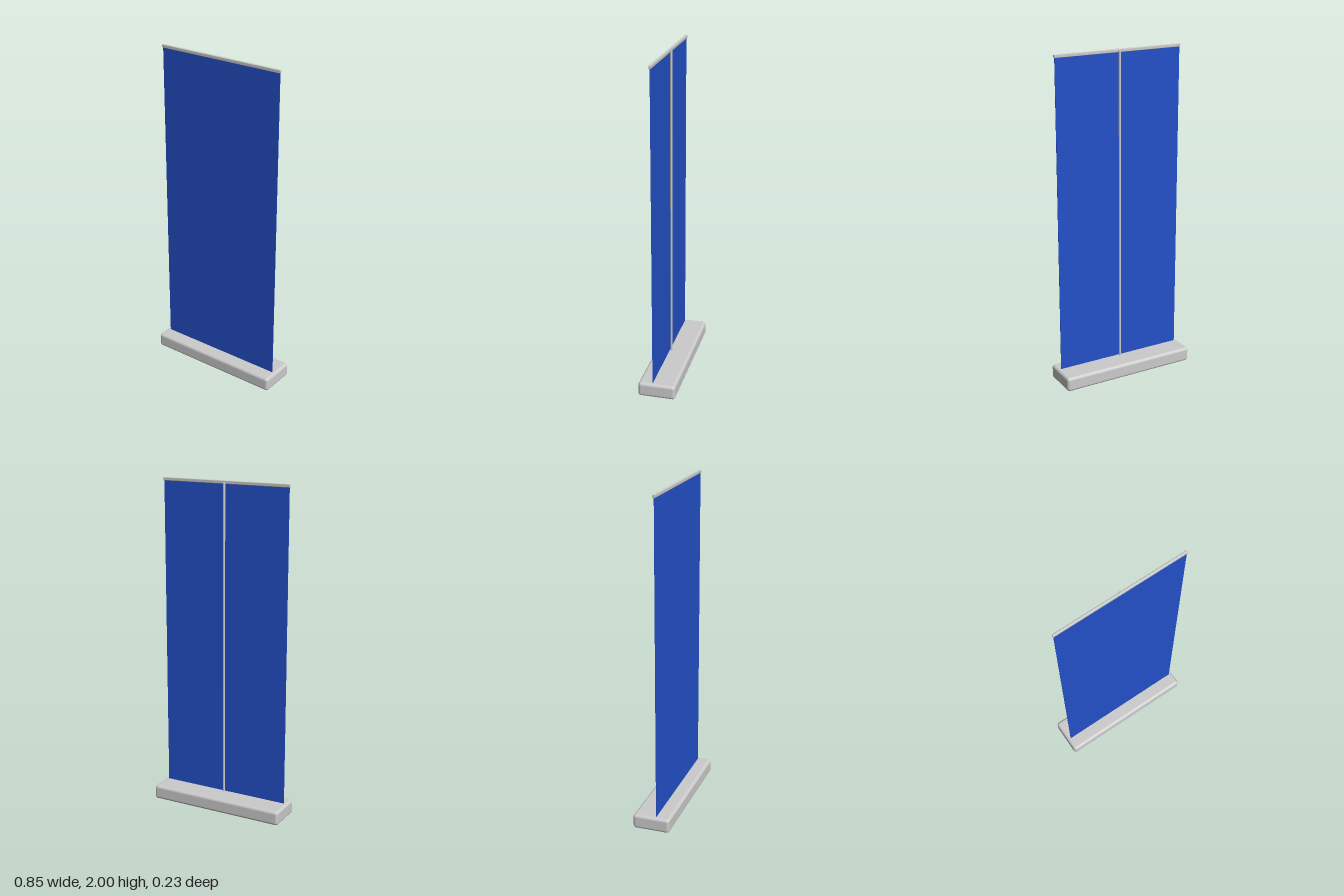
import * as THREE from 'three';
import { RoundedBoxGeometry } from 'three/addons/geometries/RoundedBoxGeometry.js';

export function createModel() {
  const group = new THREE.Group();
  const grey = new THREE.MeshStandardMaterial({ color: 0xcccccc });
  const blue = new THREE.MeshStandardMaterial({ color: 0x2350c8 });

  const add = (name, geometry, material, x, y, z) => {
    const mesh = new THREE.Mesh(geometry, material);
    mesh.name = name;
    mesh.position.set(x, y, z);
    group.add(mesh);
  };

  // Heavy foot with softened edges
  add('base', new RoundedBoxGeometry(0.854, 0.088, 0.226, 5, 0.018), grey, 0, 0.044, 0);

  // Thin fabric sheet, running from inside the base up into the rail
  add('bannerSheet', new THREE.BoxGeometry(0.808, 1.91, 0.003), blue, 0, 1.035, 0.027);

  // Clamp rail along the top edge
  add('topRail', new RoundedBoxGeometry(0.816, 0.02, 0.014, 3, 0.004), grey, 0, 1.99, 0.027);

  // Support pole behind the sheet
  add('supportPole', new THREE.CylinderGeometry(0.007, 0.007, 1.91, 24), grey, 0, 1.035, 0.015);

  return group;
}
